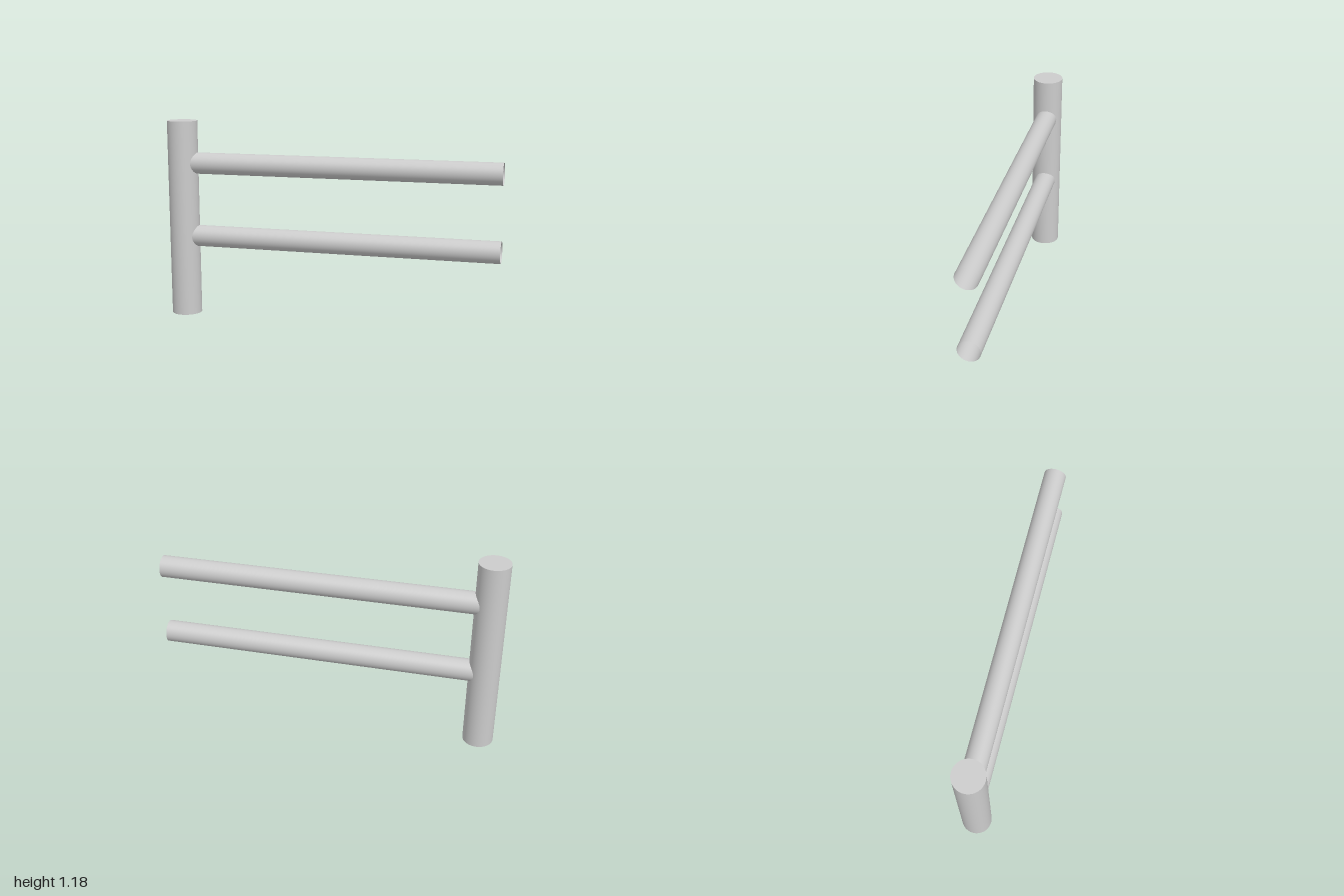
import * as THREE from 'three';

const POST = { x: -0.91, r: 0.09, h: 1.18 };
const RAIL = { r: 0.064, z: -0.006, end: 1 };

export function createModel() {
  const group = new THREE.Group();
  const material = new THREE.MeshStandardMaterial({ color: 0xcccccc, side: THREE.DoubleSide });

  const add = (name, geometry, x, y, z) => {
    const mesh = new THREE.Mesh(geometry, material);
    mesh.name = name;
    mesh.position.set(x, y, z);
    group.add(mesh);
    return mesh;
  };

  // Upright post: tube open at the bottom, closed by a flat disc on top
  add('post', new THREE.CylinderGeometry(POST.r, POST.r, POST.h, 64, 1, true), POST.x, POST.h / 2, 0);
  add('postCap', new THREE.CircleGeometry(POST.r, 64).rotateX(-Math.PI / 2), POST.x, POST.h, 0);

  // Horizontal rail: open tube whose inner end is coped to the round post
  const railGeometry = new THREE.CylinderGeometry(RAIL.r, RAIL.r, 1, 64, 1, true).rotateZ(-Math.PI / 2);
  const p = railGeometry.attributes.position;
  for (let i = 0; i < p.count; i++) {
    const z = p.getZ(i) + RAIL.z;
    p.setX(i, p.getX(i) > 0 ? RAIL.end : POST.x + Math.sqrt(POST.r ** 2 - z ** 2));
  }
  add('lowerRail', railGeometry, 0, 0.482, RAIL.z);
  add('upperRail', railGeometry, 0, 0.926, RAIL.z);

  return group;
}
